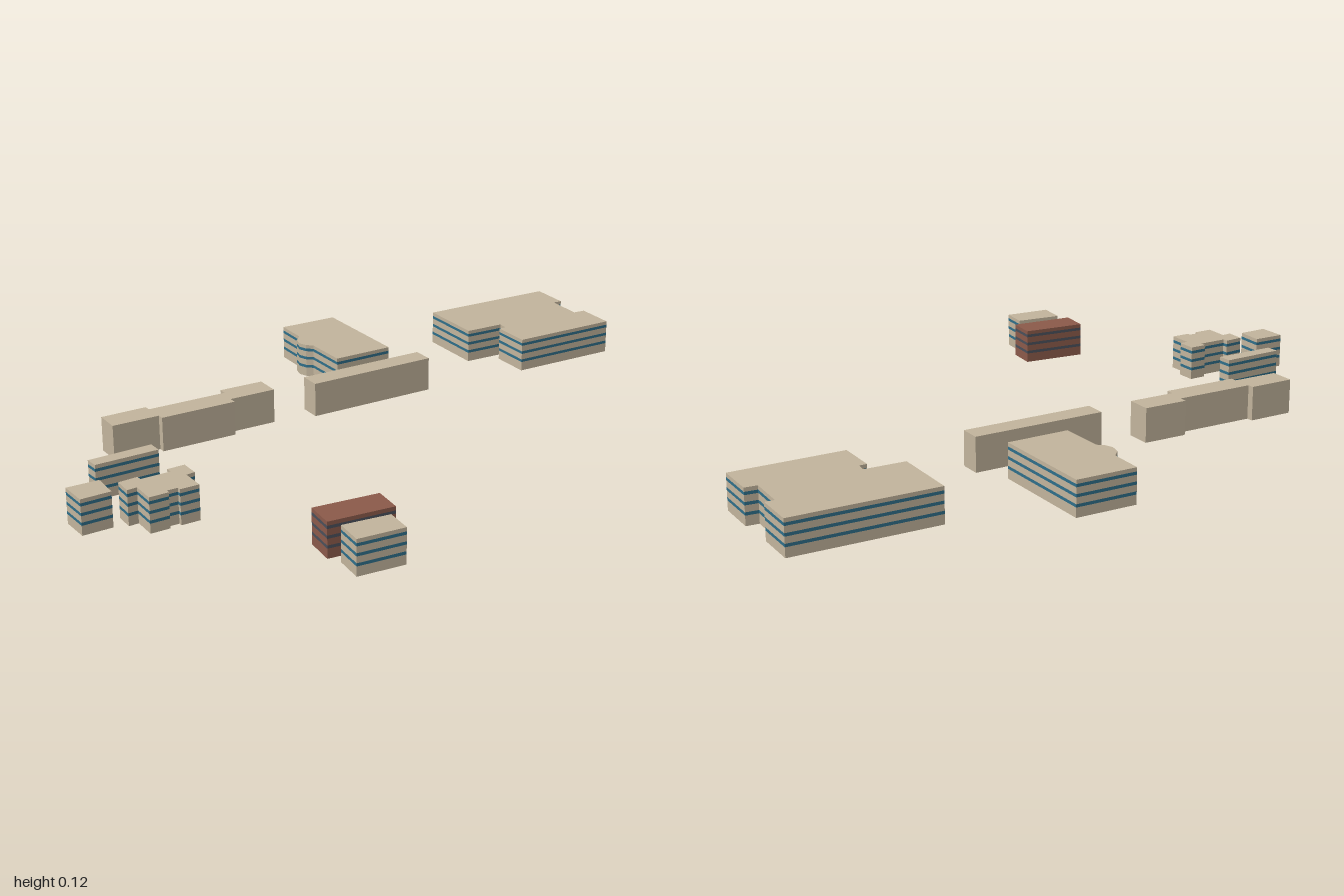
import * as THREE from 'three';
import { mergeGeometries } from 'three/addons/utils/BufferGeometryUtils.js';

const HEIGHT = 0.117;
const BANDS = [0.037, 0.068, 0.099]; // window band centres
const HALF = 0.005;

const material = (color) => new THREE.MeshStandardMaterial({ color, flatShading: true });
const stone = material(0xc2b49c);
const brick = material(0x8b5a4a);
const glass = material(0x2f6f8a);
const darkGlass = material(0x4a4f5a);

// Strip of wall around a footprint (corners run clockwise seen from above)
function walls(points, y0, y1) {
  const pos = [];
  points.forEach(([ax, az], i) => {
    const [bx, bz] = points[(i + 1) % points.length];
    pos.push(bx, y0, bz, ax, y0, az, ax, y1, az, bx, y0, bz, ax, y1, az, bx, y1, bz);
  });
  const geo = new THREE.BufferGeometry();
  geo.setAttribute('position', new THREE.Float32BufferAttribute(pos, 3));
  geo.computeVertexNormals();
  return geo;
}

// Flat roof (side = 1) or underside (side = -1)
function cap(points, side, y) {
  const shape = new THREE.Shape(points.map(([x, z]) => new THREE.Vector2(x, -side * z)));
  const geo = new THREE.ShapeGeometry(shape).rotateX(-side * Math.PI / 2).translate(0, y, 0).toNonIndexed();
  geo.deleteAttribute('uv');
  return geo;
}

function building(name, points, { banded = true, wall = stone, band = glass } = {}) {
  const group = new THREE.Group();
  group.name = name;
  const body = [cap(points, 1, HEIGHT), cap(points, -1, 0)];
  const strips = [];
  let y = 0;
  for (const mid of banded ? BANDS : []) {
    body.push(walls(points, y, mid - HALF));
    strips.push(walls(points, mid - HALF, mid + HALF));
    y = mid + HALF;
  }
  body.push(walls(points, y, HEIGHT));
  const shell = new THREE.Mesh(mergeGeometries(body), wall);
  shell.name = name + 'Walls';
  group.add(shell);
  if (banded) {
    const windows = new THREE.Mesh(mergeGeometries(strips), band);
    windows.name = name + 'Windows';
    group.add(windows);
  }
  return group;
}

export function createModel() {
  const model = new THREE.Group();
  model.name = 'buildingCampus';

  // Large notched hall
  model.add(building('largeHall', [
    [0.38, -0.825], [0.835, -1], [0.885, -0.87], [0.855, -0.86], [0.9, -0.737], [0.94, -0.75],
    [0.99, -0.62], [0.635, -0.48], [0.583, -0.61], [0.607, -0.62], [0.597, -0.653], [0.467, -0.605],
  ]));

  // Block with a rounded bay on its left wall
  model.add(building('bayBlock', [
    [-0.19, -0.76], [0.003, -0.835], [0.15, -0.487], [-0.047, -0.405], [-0.11, -0.55],
    [-0.135, -0.558], [-0.155, -0.58], [-0.161, -0.615], [-0.147, -0.652],
  ]));

  // Plain long ranges
  model.add(building('longRange', [
    [-0.185, -0.248], [0.24, -0.422], [0.268, -0.355], [-0.157, -0.18],
  ], { banded: false }));
  model.add(building('steppedRange', [
    [-0.875, -0.01], [-0.73, -0.07], [-0.72, -0.05], [-0.465, -0.152], [-0.475, -0.178], [-0.333, -0.233],
    [-0.3, -0.153], [-0.45, -0.093], [-0.44, -0.068], [-0.683, 0.03], [-0.692, 0.01], [-0.842, 0.07],
  ], { banded: false }));

  // Small left cluster
  model.add(building('narrowBlock', [
    [-0.927, 0.327], [-0.73, 0.238], [-0.71, 0.283], [-0.907, 0.367],
  ]));
  model.add(building('squareHouse', [
    [-0.997, 0.517], [-0.897, 0.478], [-0.865, 0.565], [-0.957, 0.606],
  ]));
  model.add(building('wingedHouse', [
    [-0.843, 0.505], [-0.785, 0.475], [-0.777, 0.493], [-0.685, 0.453], [-0.694, 0.434], [-0.64, 0.41],
    [-0.614, 0.47], [-0.64, 0.485], [-0.608, 0.56], [-0.667, 0.585], [-0.672, 0.573], [-0.705, 0.587],
    [-0.7, 0.6], [-0.76, 0.626], [-0.79, 0.55], [-0.82, 0.565],
  ]));

  // Front pair
  model.add(building('brickHouse', [
    [-0.305, 0.774], [-0.095, 0.709], [-0.065, 0.806], [-0.275, 0.873],
  ], { wall: brick, band: darkGlass }));
  model.add(building('frontHouse', [
    [-0.24, 0.9], [-0.088, 0.855], [-0.06, 0.945], [-0.211, 0.995],
  ]));

  return model;
}
